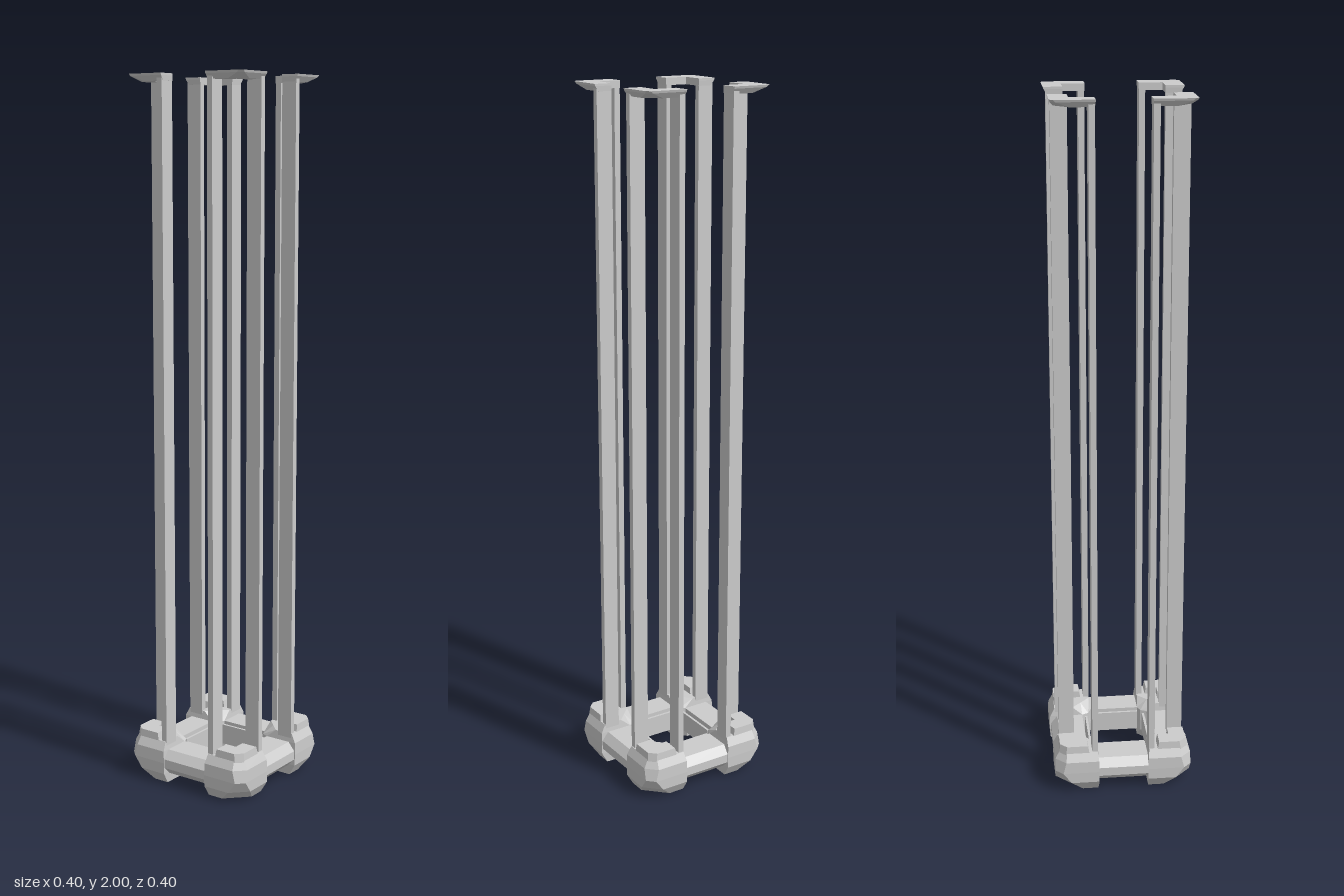
import * as THREE from 'three';

const material = new THREE.MeshStandardMaterial({ color: 0xcccccc, flatShading: true });

function addMesh(parent, geometry, name, x = 0, y = 0, z = 0) {
  const mesh = new THREE.Mesh(geometry, material);
  mesh.name = name;
  mesh.position.set(x, y, z);
  parent.add(mesh);
  return mesh;
}

// Solid skinned over stacked levels { y, pts: [[x, z], ...] }, closed at both ends
function stack(levels) {
  const pos = [];
  const put = (level, i) => pos.push(level.pts[i][0], level.y, level.pts[i][1]);
  const n = levels[0].pts.length;
  for (let k = 0; k < levels.length - 1; k++) {
    const a = levels[k], b = levels[k + 1];
    for (let i = 0; i < n; i++) {
      const j = (i + 1) % n;
      put(a, i); put(a, j); put(b, j);
      put(a, i); put(b, j); put(b, i);
    }
  }
  for (const [level, up] of [[levels[0], false], [levels[levels.length - 1], true]]) {
    const flat = level.pts.map(([x, z]) => new THREE.Vector2(x, -z));
    for (const [i, j, k] of THREE.ShapeUtils.triangulateShape(flat, [])) {
      put(level, i); put(level, up ? j : k); put(level, up ? k : j);
    }
  }
  const g = new THREE.BufferGeometry();
  g.setAttribute('position', new THREE.Float32BufferAttribute(pos, 3));
  g.computeVertexNormals();
  return g;
}

// Corner block section: outer face o, outer chamfer c, side face a, inner chamfer from e to m
const blockLevel = (y, o, c, a, e, m) => ({
  y, pts: [[a, o], [o - c, o], [o, o - c], [o, a], [e, a], [m, m], [a, e]],
});

// L-shaped section: outer face o, outer chamfer c, arm ends at a, inner faces at i
const angleLevel = (y, o, c, a, i) => ({
  y, pts: [[a, o], [o - c, o], [o, o - c], [o, a], [i, a], [i, i], [a, i]],
});

function createCorner() {
  const corner = new THREE.Group();
  corner.name = 'corner';

  // Faceted foot
  addMesh(corner, stack([
    blockLevel(0, 0.18, 0.06, 0.074, 0.11, 0.092),
    blockLevel(0.032, 0.199, 0.045, 0.072, 0.1, 0.08),
    blockLevel(0.065, 0.2, 0.022, 0.072, 0.095, 0.08),
    blockLevel(0.1, 0.199, 0.03, 0.073, 0.1, 0.081),
    blockLevel(0.125, 0.186, 0.02, 0.076, 0.13, 0.103),
  ]), 'cornerBlock');

  // Raised collar around the outer corner
  addMesh(corner, stack([
    angleLevel(0.12, 0.187, 0.018, 0.1, 0.137),
    angleLevel(0.145, 0.185, 0.02, 0.105, 0.138),
  ]), 'collar');

  // Two flat uprights per corner, one on each arm of the angle
  const height = 1.89;
  addMesh(corner, new THREE.BoxGeometry(0.017, height, 0.045), 'uprightA', 0.083, 0.1 + height / 2, 0.161);
  addMesh(corner, new THREE.BoxGeometry(0.045, height, 0.017), 'uprightB', 0.161, 0.1 + height / 2, 0.083);

  // Flared angle cap
  addMesh(corner, stack([
    angleLevel(1.98, 0.178, 0.04, 0.074, 0.138),
    angleLevel(1.994, 0.188, 0.014, 0.073, 0.138),
    angleLevel(2, 0.19, 0.01, 0.073, 0.138),
  ]), 'cap');
  return corner;
}

function createSide() {
  const side = new THREE.Group();
  side.name = 'side';

  // Beam with bevelled outer edges, profile in (z, y)
  const profile = [[0.1, 0.028], [0.175, 0.028], [0.197, 0.05], [0.197, 0.076], [0.177, 0.1], [0.1, 0.1]];
  const length = 0.16;
  const shape = new THREE.Shape(profile.map(([z, y]) => new THREE.Vector2(-z, y)));
  const beam = new THREE.ExtrudeGeometry(shape, { depth: length, bevelEnabled: false });
  beam.translate(0, 0, -length / 2);
  beam.rotateY(Math.PI / 2);
  addMesh(side, beam, 'beam');

  // Thin strip just inside the beam
  addMesh(side, new THREE.BoxGeometry(0.144, 0.06, 0.007), 'innerStrip', 0, 0.064, 0.088);
  return side;
}

export function createModel() {
  const model = new THREE.Group();
  model.name = 'cornerPostFrame';
  for (let k = 0; k < 4; k++) {
    for (const part of [createCorner(), createSide()]) {
      part.rotation.y = k * Math.PI / 2;
      model.add(part);
    }
  }
  return model;
}
